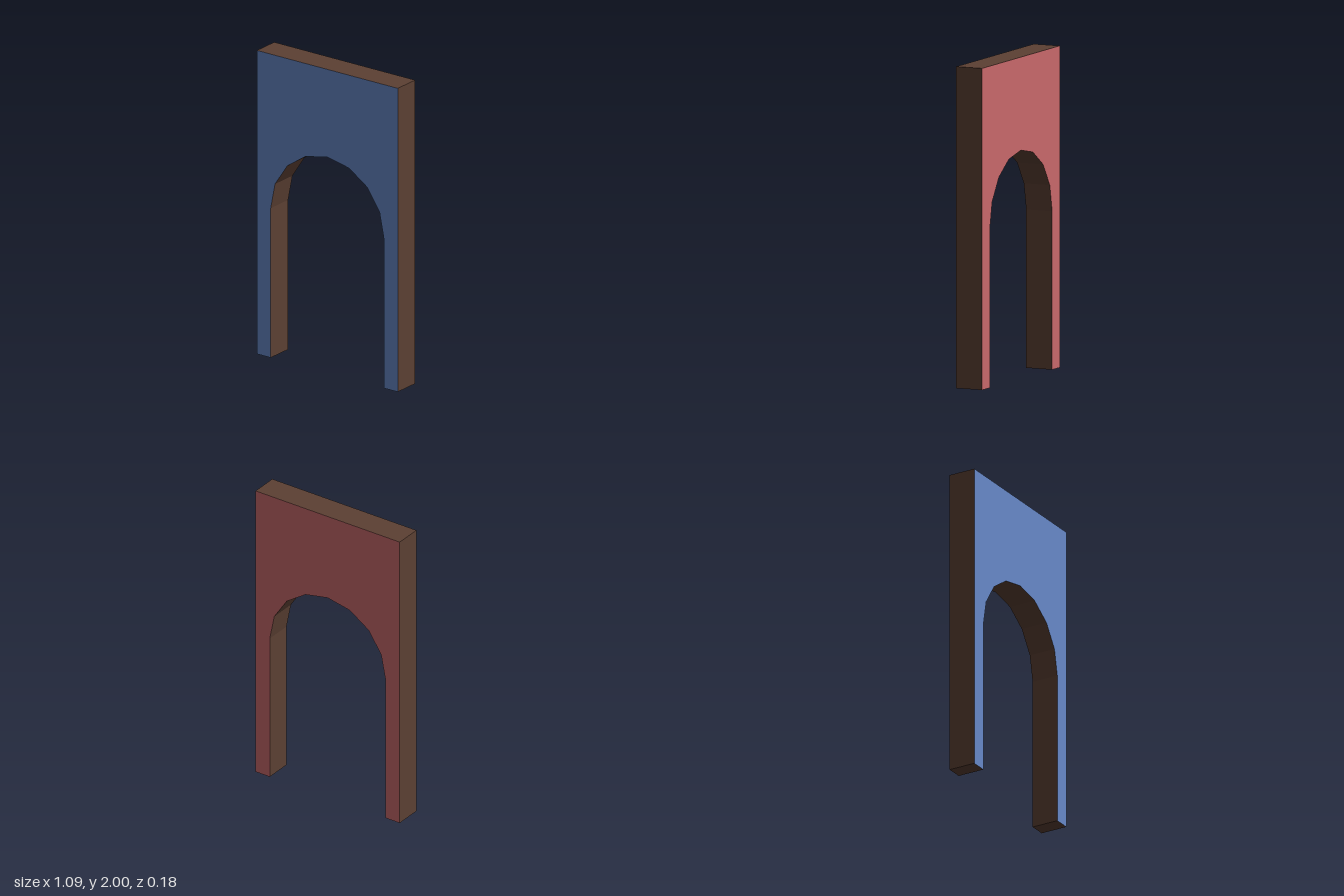
import * as THREE from 'three';

const HALF_WIDTH = 0.543, HEIGHT = 2, DEPTH = 0.178;
const ARCH_RADIUS = 0.436, SPRING_HEIGHT = 0.985, ARCH_SEGMENTS = 8;

function paint(name, color) {
  const material = new THREE.MeshStandardMaterial({ color });
  material.name = name;
  return material;
}

// Wall outline with an open, faceted archway
function archwayShape() {
  const points = [
    new THREE.Vector2(-HALF_WIDTH, 0),
    new THREE.Vector2(-ARCH_RADIUS, 0),
  ];
  for (let i = 0; i <= ARCH_SEGMENTS; i++) {
    const a = Math.PI * (1 - i / ARCH_SEGMENTS);
    points.push(new THREE.Vector2(ARCH_RADIUS * Math.cos(a), SPRING_HEIGHT + ARCH_RADIUS * Math.sin(a)));
  }
  points.push(
    new THREE.Vector2(ARCH_RADIUS, 0),
    new THREE.Vector2(HALF_WIDTH, 0),
    new THREE.Vector2(HALF_WIDTH, HEIGHT),
    new THREE.Vector2(-HALF_WIDTH, HEIGHT),
  );
  return new THREE.Shape(points);
}

export function createModel() {
  const model = new THREE.Group();
  model.name = 'archway';

  const geometry = new THREE.ExtrudeGeometry(archwayShape(), { depth: DEPTH, bevelEnabled: false });
  geometry.translate(0, 0, -DEPTH / 2);

  // The caps come back first, then front: give each its own colour
  const [caps, sides] = geometry.groups;
  const half = caps.count / 2;
  geometry.clearGroups();
  geometry.addGroup(0, half, 0);
  geometry.addGroup(half, half, 1);
  geometry.addGroup(sides.start, sides.count, 2);

  const wall = new THREE.Mesh(geometry, [
    paint('red back', 0xc8686b),
    paint('blue front', 0x6688c8),
    paint('brown edge', 0x5c4033),
  ]);
  wall.name = 'archWall';
  model.add(wall);
  return model;
}
